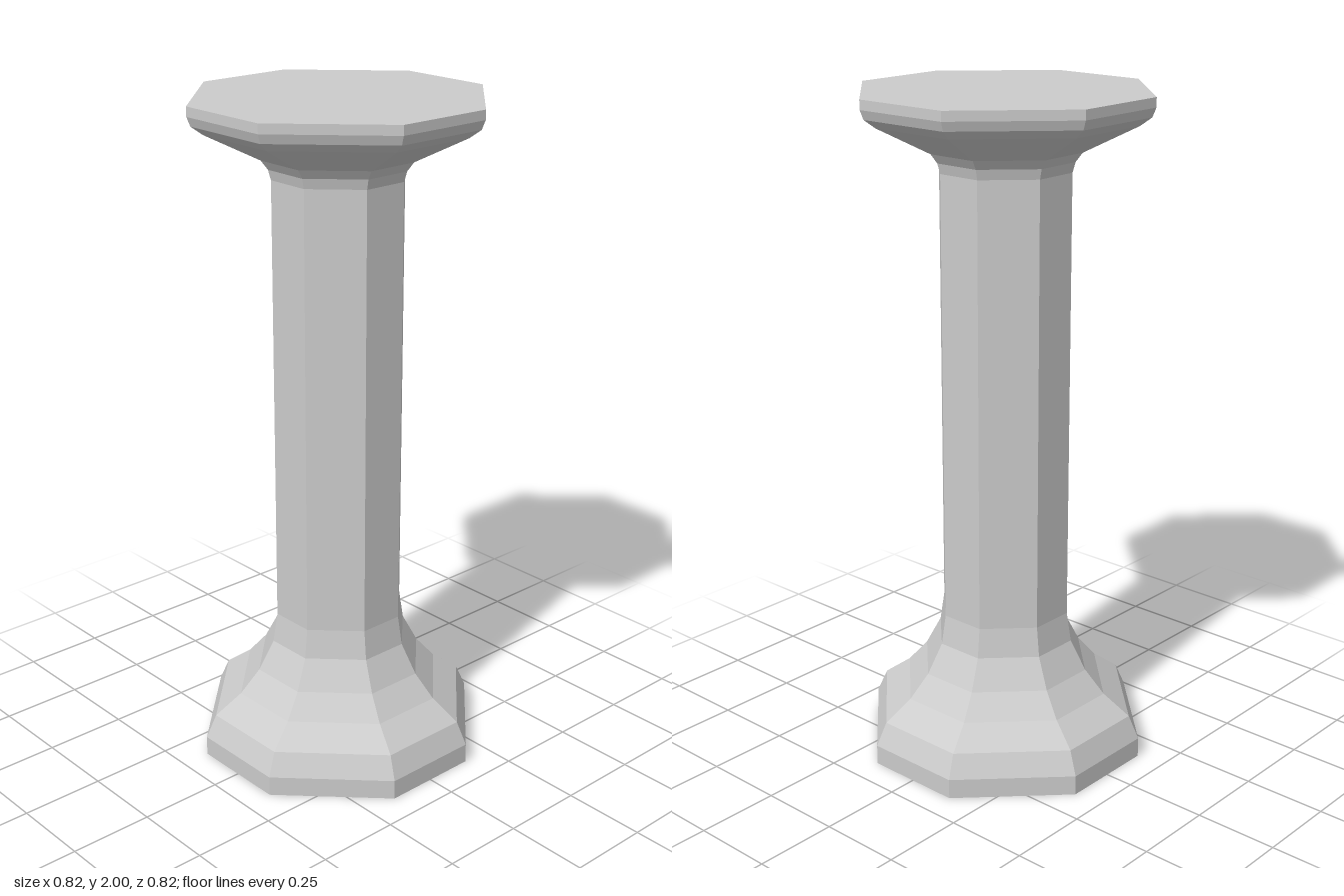
import * as THREE from 'three';

// Half of an axis-facing side, relative to its distance from the centre
const HALF_SIDE = 0.364;

// Eight-sided solid from [distance to side, height] pairs, bottom to top
function octagonalPart(name, profile) {
  const points = profile.map(([r, y]) => new THREE.Vector2(r, y));
  const geometry = new THREE.LatheGeometry(points, 8, Math.PI / 8);
  const pos = geometry.attributes.position;
  // Narrow the four axis-facing sides, leaving the diagonal ones wider
  for (let i = 0; i < pos.count; i++) {
    const x = pos.getX(i), z = pos.getZ(i);
    const r = Math.hypot(x, z);
    const snap = (v) => Math.sign(v) * r * (Math.abs(v) > 0.7 * r ? 1 : HALF_SIDE);
    pos.setX(i, snap(x));
    pos.setZ(i, snap(z));
  }
  geometry.computeVertexNormals();
  const material = new THREE.MeshStandardMaterial({ color: 0xcccccc, flatShading: true });
  const mesh = new THREE.Mesh(geometry, material);
  mesh.name = name;
  return mesh;
}

export function createModel() {
  const column = new THREE.Group();
  column.name = 'column';

  // Flared foot with a closed underside
  column.add(octagonalPart('base', [
    [0, 0], [0.412, 0], [0.412, 0.06], [0.382, 0.13], [0.305, 0.19],
    [0.248, 0.26], [0.203, 0.35], [0.19, 0.44],
  ]));

  // Straight shaft
  column.add(octagonalPart('shaft', [[0.19, 0.44], [0.19, 1.78]]));

  // Spreading head with a flat top
  column.add(octagonalPart('capital', [
    [0.19, 1.78], [0.198, 1.81], [0.217, 1.837], [0.37, 1.92],
    [0.402, 1.945], [0.412, 1.972], [0.412, 2], [0, 2],
  ]));

  return column;
}
